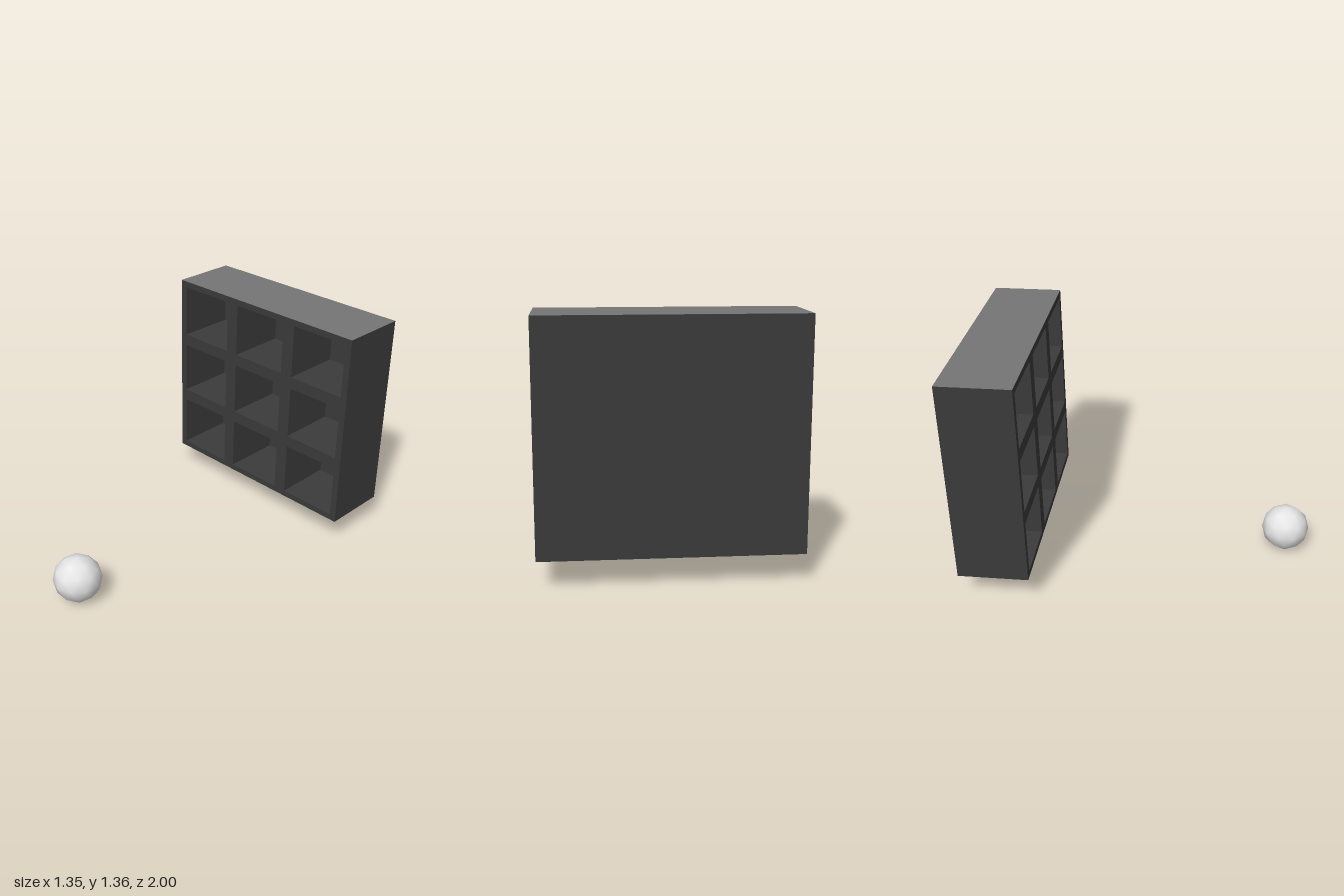
import * as THREE from 'three';

const material = (name, color) => {
  const m = new THREE.MeshStandardMaterial({ color });
  m.name = name;
  return m;
};

const part = (name, geometry, mat, x, y, z) => {
  const mesh = new THREE.Mesh(geometry, mat);
  mesh.name = name;
  mesh.position.set(x, y, z);
  return mesh;
};

// Adds the corners of a centred rectangle to a shape or hole path
const rectangle = (path, x, y, w, h) =>
  path.setFromPoints([[-1, -1], [1, -1], [1, 1], [-1, 1]]
    .map(([sx, sy]) => new THREE.Vector2(x + sx * w / 2, y + sy * h / 2)));

export function createModel() {
  const charcoal = material('charcoal', 0x3b3b3b);
  const grey = material('grey', 0x757575);
  const paleGrey = material('pale grey', 0xe7e7e7);

  const cellW = 0.449, cellH = 0.4, width = cellW * 3, height = cellH * 3;
  const back = -1, depth = 0.405, backThickness = 0.037;
  const midY = 0.155 + height / 2;

  // Shelf frame with a three by three grid of openings
  const outline = rectangle(new THREE.Shape(), 0, 0, width, height);
  for (let row = -1; row <= 1; row++) {
    for (let col = -1; col <= 1; col++) {
      outline.holes.push(rectangle(new THREE.Path(), col * cellW, row * cellH, 0.368, 0.326));
    }
  }
  const frame = new THREE.ExtrudeGeometry(outline, { depth: depth - backThickness, bevelEnabled: false });

  const shelf = new THREE.Group();
  shelf.name = 'shelf';
  shelf.add(
    part('shelfFrame', frame, charcoal, 0, midY, back + backThickness),
    part('backPanel', new THREE.BoxGeometry(width, height, backThickness), charcoal,
      0, midY, back + backThickness / 2),
    // Lighter top surface
    part('topSurface', new THREE.PlaneGeometry(width, depth).rotateX(-Math.PI / 2), grey,
      0, midY + height / 2 + 0.001, back + depth / 2),
  );

  // Faceted ball, turned to stand on one of its corners
  const ballGeometry = new THREE.IcosahedronGeometry(0.14, 1)
    .rotateZ(-Math.atan(2 / (1 + Math.sqrt(5))));
  const ball = part('ball', ballGeometry, paleGrey, 0, 0.14, 0.86);

  const model = new THREE.Group();
  model.name = 'shelfAndBall';
  model.add(shelf, ball);
  return model;
}
